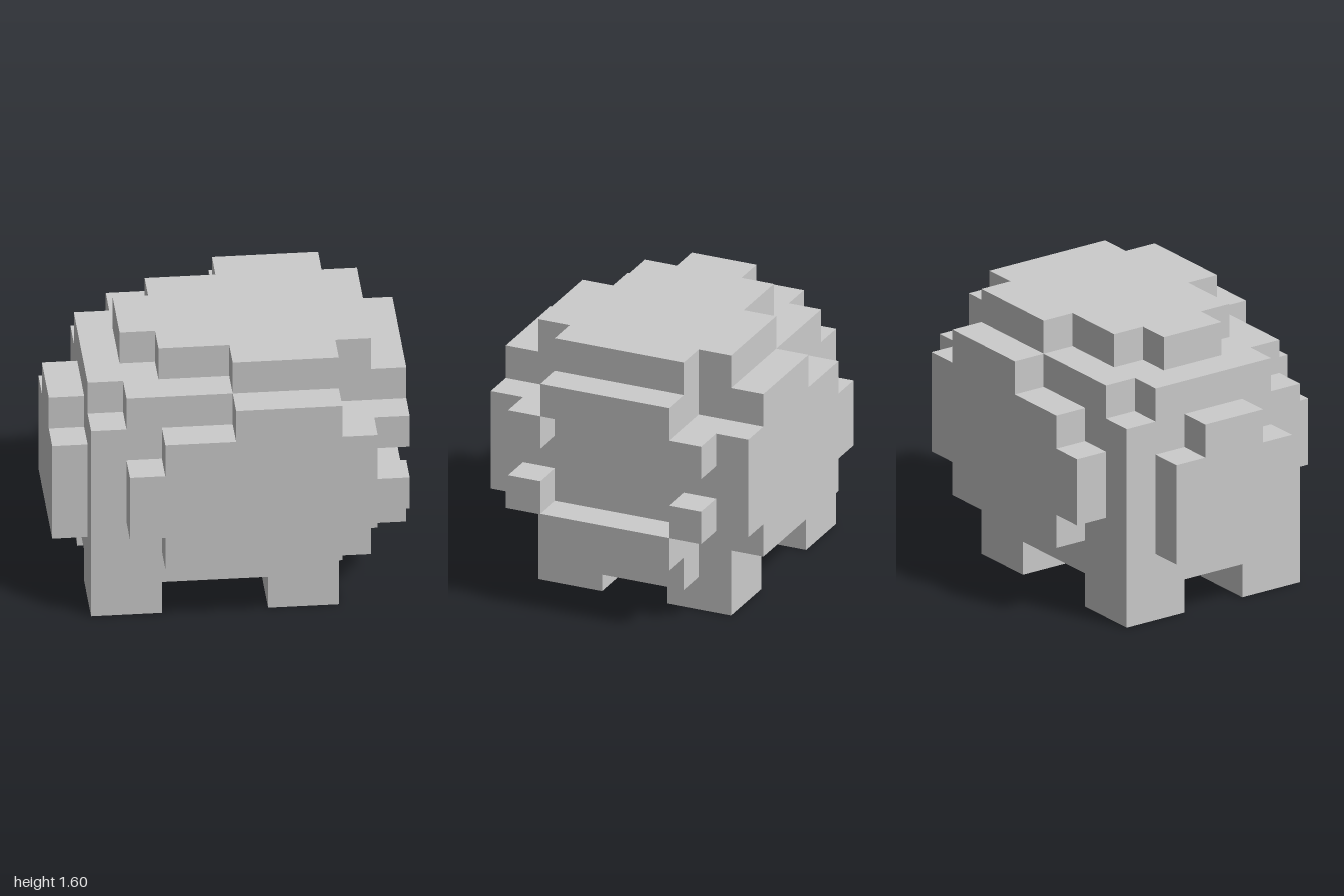
import * as THREE from 'three';

const U = 0.2; // block size
const material = new THREE.MeshStandardMaterial({ color: 0xcccccc, flatShading: true });

function add(group, name, geometry, x, y, z) {
  const mesh = new THREE.Mesh(geometry, material);
  mesh.name = name;
  mesh.position.set(x, y, z);
  group.add(mesh);
  return mesh;
}

// Box given by its minimum and maximum corners
function block(group, name, [x0, y0, z0], [x1, y1, z1]) {
  return add(group, name, new THREE.BoxGeometry(x1 - x0, y1 - y0, z1 - z0),
    (x0 + x1) / 2, (y0 + y1) / 2, (z0 + z1) / 2);
}

function extrude(points, depth = U) {
  const shape = new THREE.Shape(points.map(([a, b]) => new THREE.Vector2(a, b)));
  return new THREE.ExtrudeGeometry(shape, { depth, bevelEnabled: false });
}

// Horizontal layer: half outline in (x, z), mirrored across z = 0, extruded upward
function layer(group, name, half, y, height = U) {
  const outline = [...half, ...half.map(([x, z]) => [x, -z]).reverse()];
  return add(group, name, extrude(outline, height).rotateX(-Math.PI / 2), 0, y, 0);
}

export function createModel() {
  const model = new THREE.Group();
  model.name = 'blockCreature';

  // Body core, from the belly up to the shoulders
  layer(model, 'belly', [[-0.8, 0.6], [0.6, 0.6], [0.6, 0.4], [0.8, 0.4]], 0.2, 0.4);
  block(model, 'torso', [-0.8, 0.6, -0.6], [0.8, 1.2, 0.6]);
  layer(model, 'shoulders',
    [[-0.8, 0.4], [-0.6, 0.4], [-0.6, 0.6], [0.6, 0.6], [0.6, 0.4], [0.8, 0.4]], 1.2);

  // Stepped shell plate on top
  layer(model, 'topPlate',
    [[-0.6, 0.2], [-0.4, 0.2], [-0.4, 0.4], [0, 0.4], [0, 0.6], [0.6, 0.6], [0.6, 0.4], [0.8, 0.4]], 1.4);

  // Matching stepped plates on front and back
  const flank = [[-0.4, 0.4], [0.6, 0.4], [0.6, 0.6], [0.8, 0.6], [0.8, 1.2], [0.6, 1.2], [0.6, 1.4],
    [0, 1.4], [0, 1.2], [-0.4, 1.2], [-0.4, 1], [-0.6, 1], [-0.6, 0.6], [-0.4, 0.6]];
  add(model, 'frontPlate', extrude(flank), 0, 0, 0.6);
  add(model, 'backPlate', extrude(flank), 0, 0, -0.8);

  // Plate on the -x end, outlined in (z, y)
  const end = [[-0.4, 0.4], [0.4, 0.4], [0.4, 1], [0.2, 1], [0.2, 1.2], [-0.2, 1.2], [-0.2, 1], [-0.4, 1]];
  add(model, 'endPlate', extrude(end).rotateY(-Math.PI / 2), -0.8, 0, 0);

  // Face frame on the +x end: brow and jaw bars
  block(model, 'browBar', [0.8, 1.2, -0.4], [1, 1.4, 0.4]);
  block(model, 'jawBar', [0.8, 0.4, -0.4], [1, 0.6, 0.4]);

  // Corner blocks of the frame, and the legs
  for (const z of [-0.6, 0.4]) {
    block(model, 'upperCornerBlock', [0.8, 1, z], [1, 1.2, z + U]);
    block(model, 'lowerCornerBlock', [0.8, 0.6, z], [1, 0.8, z + U]);
  }
  for (const x of [-0.8, 0.2]) {
    for (const z of [-0.6, 0.2]) block(model, 'leg', [x, 0, z], [x + 2 * U, 0.2, z + 2 * U]);
  }

  return model;
}
